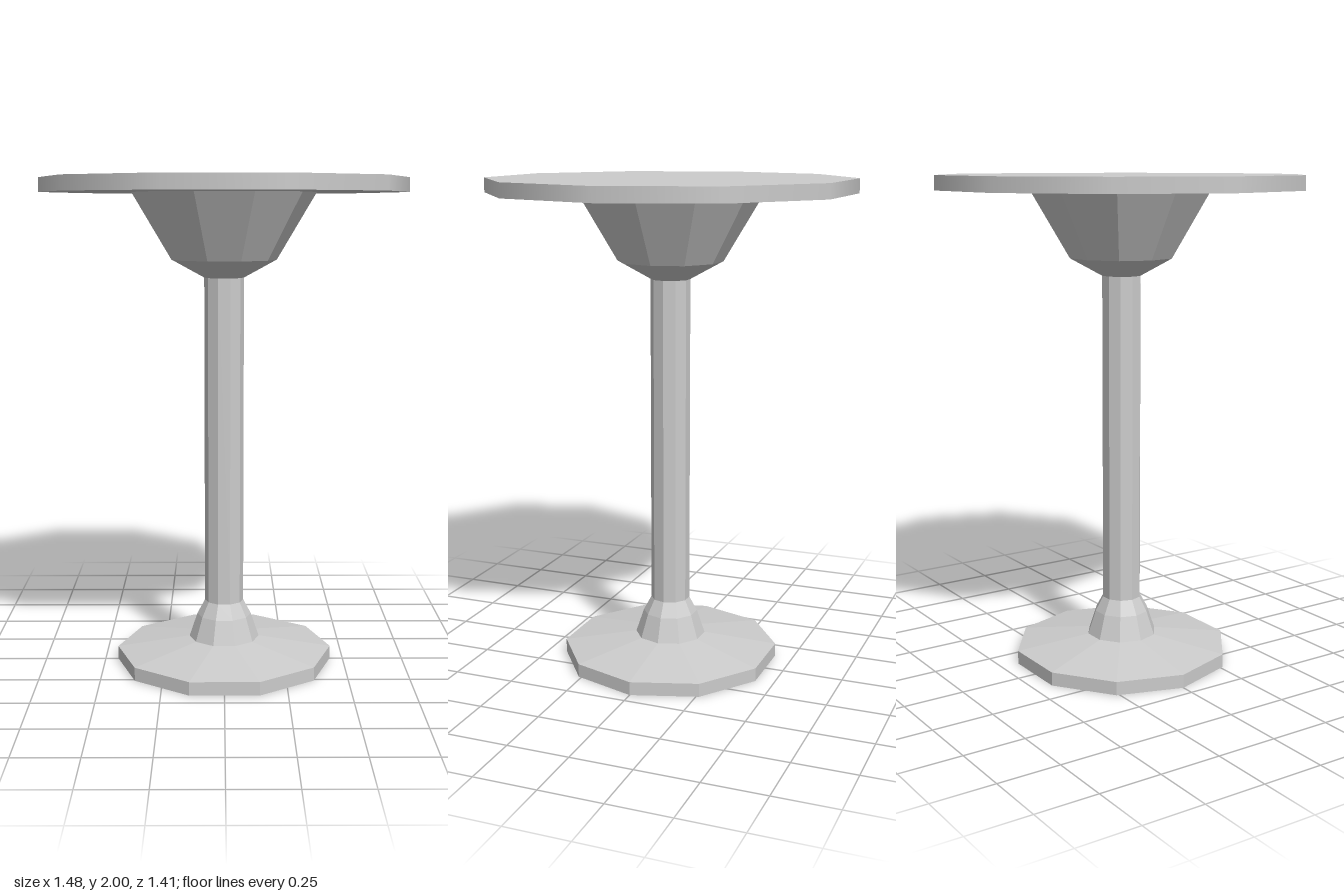
import * as THREE from 'three';

const SIDES = 10;
const START = Math.PI / 2; // puts a corner on the x axis

export function createModel() {
  const group = new THREE.Group();
  group.name = 'pedestalTable';
  const flat = new THREE.MeshStandardMaterial({ color: 0xcccccc, flatShading: true });
  const smooth = new THREE.MeshStandardMaterial({ color: 0xcccccc });

  function add(name, geometry, material) {
    const mesh = new THREE.Mesh(geometry, material);
    mesh.name = name;
    group.add(mesh);
    return mesh;
  }

  // Ten-sided turned part from [radius, height] pairs, bottom to top
  function turned(name, profile) {
    const points = profile.map(([r, y]) => new THREE.Vector2(r, y));
    return add(name, new THREE.LatheGeometry(points, SIDES, START), flat);
  }

  // Foot plate with a shallow sloped top
  turned('base', [[0, 0], [0.446, 0], [0.446, 0.055], [0.145, 0.102]]);

  // Flared collar where the column meets the base
  turned('collar', [[0.145, 0.102], [0.112, 0.2], [0.08, 0.26]]);

  turned('column', [[0.08, 0.26], [0.08, 1.603]]);

  // Cup-shaped support under the top
  turned('support', [[0.08, 1.603], [0.212, 1.675], [0.37, 1.942]]);

  // Table top, with a softly shaded rim
  const top = add('tableTop', new THREE.CylinderGeometry(0.74, 0.74, 0.058, SIDES, 1, false, START), smooth);
  top.position.y = 1.971;

  return group;
}
